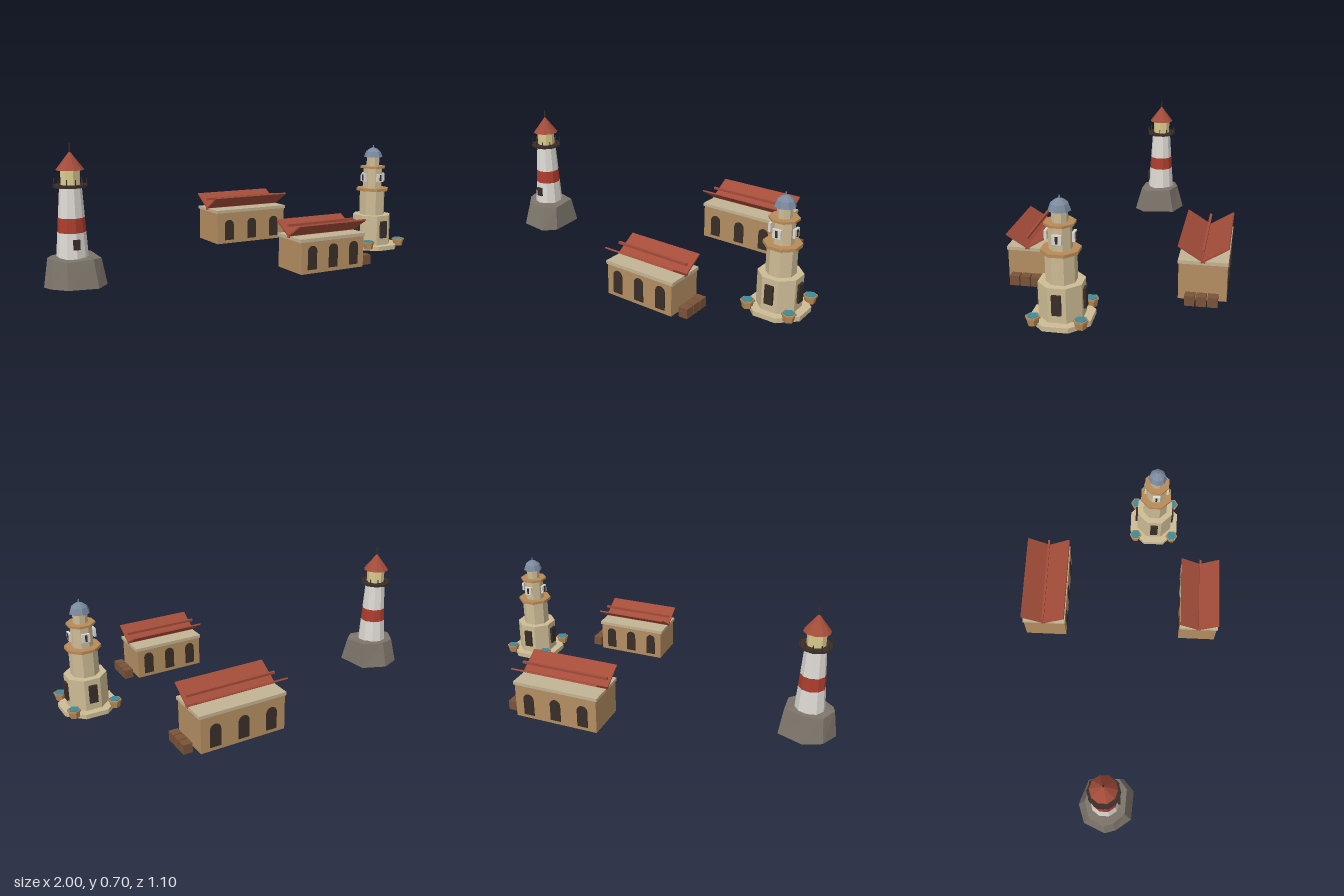
import * as THREE from 'three';

const mat = (color, double) => new THREE.MeshStandardMaterial({
  color, flatShading: true, side: double ? THREE.DoubleSide : THREE.FrontSide,
});
const M = {
  rock: mat(0x7c746a, true), white: mat(0xdedad4), red: mat(0xac3d2d), dark: mat(0x3a2e28),
  lantern: mat(0xdccb90), roof: mat(0xa34c39), cream: mat(0xcdbc95), ledge: mat(0xb98b58),
  dome: mat(0x7b8a9e, true), water: mat(0x3c8c98), wall: mat(0xb48e61), trim: mat(0xc2b393),
  crate: mat(0x7a5338),
};

function add(parent, name, geo, material, x = 0, y = 0, z = 0) {
  const mesh = new THREE.Mesh(geo, material);
  mesh.name = name;
  mesh.position.set(x, y, z);
  parent.add(mesh);
  return mesh;
}
const box = (w, h, d) => new THREE.BoxGeometry(w, h, d);

// Upright prism or frustum between two heights
function drum(parent, name, material, y0, y1, r0, r1, sides, x = 0, z = 0) {
  return add(parent, name, new THREE.CylinderGeometry(r1, r0, y1 - y0, sides), material, x, (y0 + y1) / 2, z);
}

// Octagonal prism with flat sides facing the axes, sized by half its width
function octagon(parent, name, material, y0, y1, half) {
  const r = half / Math.cos(Math.PI / 8);
  drum(parent, name, material, y0, y1, r, r, 8).rotation.y = Math.PI / 8;
}

// Irregular rock: an eight-sided frustum whose rings are pulled to a rough outline
function rockGeometry() {
  const outline = [[0.082, 0.149], [0.146, 0.09], [0.135, -0.1], [0, -0.148],
    [-0.1, -0.113], [-0.148, 0], [-0.13, 0.06], [-0.07, 0.14]];
  const lift = [0, 0.004, 0.012, 0.006, 0.012, 0, 0.003, 0.008];
  const verts = [], faces = [];
  outline.forEach(([x, z], i) => {
    verts.push(x, lift[i] * 0.7, z, x * 0.86, 0.145 - lift[(i + 3) % 8], z * 0.74);
    const a = i * 2, b = ((i + 1) % 8) * 2;
    faces.push(a, b, b + 1, a, b + 1, a + 1, 17, a + 1, b + 1, 16, b, a);
  });
  verts.push(0, 0.004, 0, 0, 0.148, 0);
  const geo = new THREE.BufferGeometry();
  geo.setAttribute('position', new THREE.Float32BufferAttribute(verts, 3));
  geo.setIndex(faces);
  geo.computeVertexNormals();
  return geo;
}

// Striped lighthouse on a rock
function stripedLighthouse() {
  const g = new THREE.Group();
  g.name = 'stripedLighthouse';
  add(g, 'rock', rockGeometry(), M.rock, 0, 0, 0.002);
  const radius = (y) => 0.079 - (y - 0.14) * 0.07;
  const levels = [0.13, 0.265, 0.337, 0.49];
  ['lowerTower', 'redBand', 'upperTower'].forEach((name, i) => {
    drum(g, name, i === 1 ? M.red : M.white, levels[i], levels[i + 1], radius(levels[i]), radius(levels[i + 1]), 10);
  });
  add(g, 'door', box(0.033, 0.05, 0.012), M.dark, 0, 0.21, 0.076);
  drum(g, 'gallery', M.dark, 0.486, 0.498, 0.085, 0.085, 10);
  for (let i = 0; i < 12; i++) {
    const a = i * Math.PI / 6;
    drum(g, 'railPost', M.dark, 0.49, 0.528, 0.003, 0.003, 5, Math.sin(a) * 0.081, Math.cos(a) * 0.081);
  }
  drum(g, 'lantern', M.lantern, 0.498, 0.57, 0.049, 0.049, 8);
  add(g, 'lanternRoof', new THREE.ConeGeometry(0.07, 0.092, 10), M.roof, 0, 0.616, 0);
  drum(g, 'spire', M.dark, 0.655, 0.7, 0.004, 0.004, 6);
  return g;
}

// Stepped octagonal lighthouse with a dome
function steppedLighthouse() {
  const g = new THREE.Group();
  g.name = 'steppedLighthouse';
  octagon(g, 'plinth', M.cream, 0.06, 0.084, 0.14);
  octagon(g, 'lowerTier', M.cream, 0.08, 0.25, 0.1);
  octagon(g, 'middleTier', M.cream, 0.25, 0.388, 0.067);
  octagon(g, 'lowerLedge', M.ledge, 0.387, 0.402, 0.085);
  octagon(g, 'upperTier', M.cream, 0.402, 0.516, 0.05);
  octagon(g, 'upperLedge', M.ledge, 0.515, 0.526, 0.067);
  octagon(g, 'lanternRoom', M.cream, 0.526, 0.58, 0.034);
  const profile = [[0, 0.577], [0.052, 0.577], [0.041, 0.608], [0.02, 0.625], [0.004, 0.631], [0.003, 0.645], [0, 0.646]];
  add(g, 'dome', new THREE.LatheGeometry(profile.map(([r, y]) => new THREE.Vector2(r, y)), 8), M.dome);

  // A door and a window on each main side, a planter on each diagonal
  for (let i = 0; i < 4; i++) {
    const side = new THREE.Group();
    side.name = 'side';
    side.rotation.y = i * Math.PI / 2;
    add(side, 'door', box(0.043, 0.095, 0.014), M.dark, 0, 0.172, 0.105);
    add(side, 'windowFrame', box(0.042, 0.044, 0.012), M.white, 0, 0.462, 0.063);
    add(side, 'windowPane', box(0.011, 0.034, 0.012), M.dark, 0, 0.462, 0.066);
    g.add(side);
    const x = (i % 2 ? 1 : -1) * 0.108, z = (i < 2 ? 1 : -1) * 0.108;
    drum(g, 'planter', M.ledge, 0.074, 0.108, 0.025, 0.031, 6, x, z);
    drum(g, 'planterRim', M.ledge, 0.106, 0.115, 0.035, 0.035, 6, x, z);
    drum(g, 'planterWater', M.water, 0.11, 0.118, 0.028, 0.028, 6, x, z);
  }
  return g;
}

// Arched opening, standing on its own origin
function archGeometry(width, height) {
  const r = width / 2;
  const s = new THREE.Shape();
  s.moveTo(-r, 0);
  s.lineTo(r, 0);
  s.lineTo(r, height - r);
  s.absarc(0, height - r, r, 0, Math.PI);
  return new THREE.ExtrudeGeometry(s, { depth: 0.006, bevelEnabled: false, curveSegments: 8 });
}

// Warehouse with an inward-sloping roof and a row of crates at its end
function warehouse({ length, width, height, rise, arch }) {
  const g = new THREE.Group();
  g.name = 'warehouse';
  const floor = 0.055, top = floor + height;
  add(g, 'walls', box(length, height, width), M.wall, 0, floor + height / 2, 0);
  add(g, 'cornice', box(length + 0.015, 0.017, width + 0.006), M.trim, 0, top + 0.0085, 0);
  const outer = width / 2 + 0.003, inner = -0.01;
  for (const s of [-1, 1]) {
    const panel = add(g, 'roofPanel', box(length + 0.024, 0.008, Math.hypot(outer - inner, rise)), M.roof,
      0, top + 0.012 + rise / 2, s * (outer + inner) / 2);
    panel.rotation.x = -s * Math.atan2(rise, outer - inner);
    for (let i = -1; i <= 1; i++) {
      const a = add(g, 'archedOpening', archGeometry(arch, 0.12), M.dark, i * length / 3, 0.075, s * (width / 2 - 0.002));
      if (s < 0) a.rotation.y = Math.PI;
    }
  }
  add(g, 'ridgeBeam', box(length + 0.024, 0.012, 0.012), M.roof, 0, top + 0.072, 0);
  for (let i = -1; i <= 1; i++) {
    add(g, 'crate', box(0.048, 0.05, 0.048), M.crate, length / 2 + 0.048, 0.08, i * 0.054);
  }
  return g;
}

export function createModel() {
  const model = new THREE.Group();
  model.name = 'harbourBuildings';
  const place = (part, x, z) => {
    part.position.set(x, 0, z);
    model.add(part);
  };
  place(stripedLighthouse(), -0.852, -0.037);
  place(steppedLighthouse(), 0.856, 0.17);
  place(warehouse({ length: 0.38, width: 0.207, height: 0.16, rise: 0.072, arch: 0.053 }), 0.308, 0.438);
  place(warehouse({ length: 0.46, width: 0.23, height: 0.183, rise: 0.079, arch: 0.058 }), 0.34, -0.43);
  return model;
}
